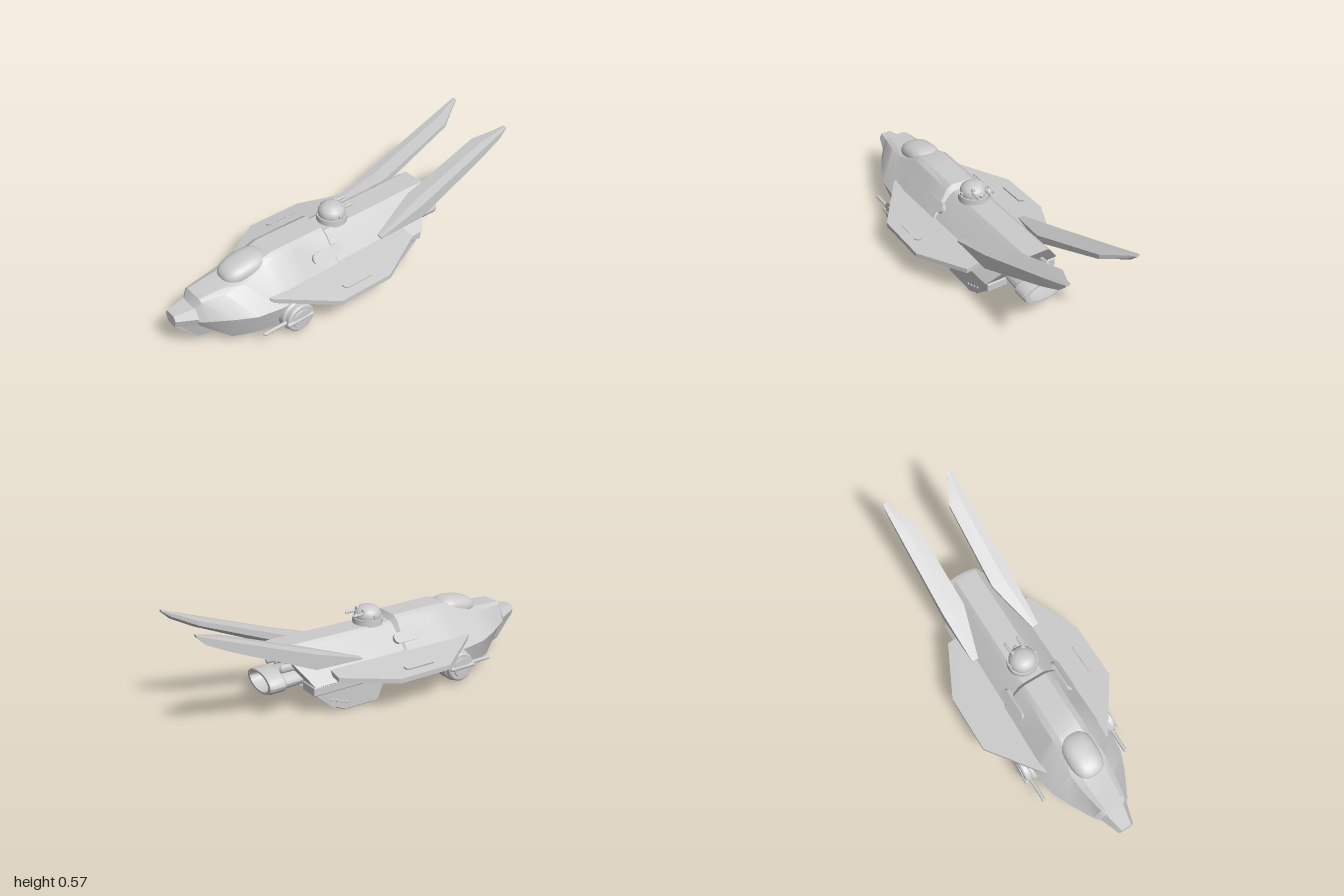
import * as THREE from 'three';
import { toCreasedNormals } from 'three/addons/utils/BufferGeometryUtils.js';
import { RoundedBoxGeometry } from 'three/addons/geometries/RoundedBoxGeometry.js';

const grey = new THREE.MeshStandardMaterial({ color: 0xcccccc });
const doubleGrey = new THREE.MeshStandardMaterial({ color: 0xcccccc, side: THREE.DoubleSide });

// Joins closed loops of [x, y, z] points (ordered by x) into a capped solid
function loft(loops, crease = 0.45) {
  const out = [], n = loops[0].length;
  const tri = (a, b, c) => out.push(...a, ...b, ...c);
  for (let s = 0; s < loops.length - 1; s++) {
    for (let i = 0; i < n; i++) {
      const j = (i + 1) % n, p = loops[s], q = loops[s + 1];
      tri(p[i], p[j], q[j]);
      tri(p[i], q[j], q[i]);
    }
  }
  const first = loops[0], last = loops[loops.length - 1];
  for (let i = 1; i < n - 1; i++) {
    tri(first[0], first[i + 1], first[i]);
    tri(last[0], last[i], last[i + 1]);
  }
  const geo = new THREE.BufferGeometry();
  geo.setAttribute('position', new THREE.Float32BufferAttribute(out, 3));
  return toCreasedNormals(geo, crease);
}

// Symmetric loop from a half section of [halfWidth, y, xOffset], top to bottom
function section(x, half) {
  const side = half.map(([w, y, dx = 0]) => [x + dx, y, w]);
  return [...side, ...side.map(([a, b, c]) => [a, b, -c]).reverse()];
}

// Mirrors a geometry across z = 0, keeping faces outward
function mirrored(geo) {
  const m = geo.index ? geo.toNonIndexed() : geo.clone();
  m.scale(1, 1, -1);
  for (const attr of Object.values(m.attributes)) {
    const k = attr.itemSize, a = attr.array;
    for (let i = 0; i < attr.count; i += 3) {
      for (let c = 0; c < k; c++) {
        const p = (i + 1) * k + c, q = (i + 2) * k + c;
        [a[p], a[q]] = [a[q], a[p]];
      }
    }
  }
  return m;
}

function polygon(points) {
  return new THREE.Shape(points.map(([x, y]) => new THREE.Vector2(x, y)));
}

// Rounded bar: long in x, depth up the y axis
function pill(length, width, height) {
  const r = width / 2, l = length / 2 - r, s = new THREE.Shape();
  s.absarc(l, 0, r, -Math.PI / 2, Math.PI / 2);
  s.absarc(-l, 0, r, Math.PI / 2, Math.PI * 1.5);
  return new THREE.ExtrudeGeometry(s, {
    depth: height, curveSegments: 8, bevelEnabled: true, bevelSize: -0.003, bevelThickness: 0.003, bevelSegments: 1,
  }).rotateX(-Math.PI / 2);
}

export function createModel() {
  const model = new THREE.Group();
  model.name = 'spacecraft';
  const add = (name, geo, mat = grey) => {
    const mesh = new THREE.Mesh(geo, mat);
    mesh.name = name;
    model.add(mesh);
    return mesh;
  };
  const pair = (name, geo, mat) => {
    add(name + 'Left', geo, mat);
    add(name + 'Right', mirrored(geo), mat);
  };
  const rod = (r, length, x, y, z) =>
    new THREE.CapsuleGeometry(r, length - 2 * r, 4, 10).rotateZ(Math.PI / 2).translate(x, y, z);

  // Hull: roof edge, shoulder, widest line and floor edge at each station
  const rearSlant = (y) => (y - 0.165) * 0.67;
  add('hull', loft([
    section(-0.9, [[0.035, 0.265], [0.05, 0.255], [0.075, 0.2], [0.05, 0.165]]),
    section(-0.87, [[0.05, 0.31], [0.068, 0.3], [0.1, 0.2], [0.065, 0.145]]),
    section(-0.75, [[0.06, 0.315], [0.09, 0.3], [0.165, 0.19], [0.12, 0.05]]),
    section(-0.65, [[0.06, 0.328], [0.1, 0.31], [0.208, 0.18], [0.165, 0.05]]),
    section(-0.52, [[0.06, 0.372], [0.09, 0.35], [0.222, 0.17], [0.195, 0.05]]),
    section(-0.46, [[0.06, 0.387], [0.09, 0.37], [0.224, 0.17], [0.2, 0.07]]),
    section(-0.35, [[0.06, 0.387], [0.09, 0.37], [0.222, 0.17], [0.2, 0.105]]),
    section(-0.19, [[0.06, 0.385], [0.09, 0.367], [0.22, 0.17], [0.2, 0.16]]),
    section(-0.155, [[0.06, 0.385], [0.09, 0.367], [0.22, 0.17], [0.2, 0.16]]),
    section(-0.135, [[0.06, 0.357], [0.085, 0.34], [0.22, 0.172], [0.2, 0.162]]),
    section(0.2, [[0.06, 0.357], [0.085, 0.335], [0.215, 0.175], [0.2, 0.163]]),
    section(0.4, [[0.06, 0.357], [0.085, 0.335], [0.21, 0.175], [0.19, 0.165]]
      .map(([w, y]) => [w, y, rearSlant(y)])),
  ]));
  add('bellyDuct', loft([
    section(-0.42, [[0.1, 0.17], [0.1, 0.095]]),
    section(-0.1, [[0.1, 0.17], [0.1, 0.105]]),
    section(-0.06, [[0.1, 0.17], [0.1, 0.12]]),
    section(-0.04, [[0.09, 0.17], [0.09, 0.155]]),
  ]));

  // Nose cap and chin
  add('noseCap', loft([
    section(-1, [[0.028, 0.26], [0.042, 0.235], [0.03, 0.195]]),
    section(-0.895, [[0.05, 0.266], [0.078, 0.215], [0.06, 0.16]]),
  ], 0.1));
  add('chin', loft([
    section(-0.995, [[0.03, 0.21], [0.028, 0.19]]),
    section(-0.89, [[0.065, 0.18], [0.04, 0.08]]),
    section(-0.74, [[0.12, 0.18], [0.08, 0.08]]),
  ], 0.1));

  // Canopy: ball squared off in plan
  const canopy = new THREE.SphereGeometry(1, 32, 20);
  const cp = canopy.attributes.position;
  const square = (v) => Math.sign(v) * Math.abs(v) ** 0.75;
  for (let i = 0; i < cp.count; i++) cp.setXYZ(i, square(cp.getX(i)), cp.getY(i), square(cp.getZ(i)));
  canopy.scale(0.125, 0.055, 0.085).rotateZ(0.14).translate(-0.59, 0.336, 0);
  canopy.computeVertexNormals();
  add('canopy', canopy);

  // Drooping side wings
  const wing = new THREE.ExtrudeGeometry(
    polygon([[-0.56, 0.15], [-0.56, 0.185], [-0.28, 0.382], [0.03, 0.382], [0.3, 0.25], [0.3, 0.15]]),
    { depth: 0.025, bevelEnabled: false }).rotateX(Math.PI / 2);
  const wp = wing.attributes.position;
  for (let i = 0; i < wp.count; i++) wp.setY(i, wp.getY(i) + 0.228 - 0.18 * (wp.getZ(i) - 0.18));
  wing.computeVertexNormals();
  pair('wing', wing);
  pair('wingPanel', pill(0.185, 0.048, 0.012).rotateX(0.18).translate(-0.13, 0.2, 0.314));
  pair('hullPanel', pill(0.185, 0.056, 0.016).rotateX(0.95).translate(-0.185, 0.288, 0.143));

  // Swept tail fins: x, inner z, outer z, top y, bottom y
  pair('tailFin', loft([
    [0.13, 0.165, 0.2, 0.262, 0.255],
    [0.4, 0.088, 0.21, 0.357, 0.268],
    [0.85, 0.1, 0.205, 0.522, 0.468],
    [0.96, 0.16, 0.203, 0.563, 0.525],
    [1, 0.175, 0.2, 0.577, 0.565],
  ].map(([x, zi, zo, t, b]) => {
    const m = zi + (zo - zi) * 0.6;
    return [[x, t, m], [x, t - (t - b) * 0.1, zo], [x, b, zo], [x, b, m], [x, b + (t - b) * 0.45, zi], [x, t - (t - b) * 0.1, zi]];
  }), 0.15));

  // Lower rear pods, their mounts, exhaust frames and side studs
  const pod = new THREE.ExtrudeGeometry(polygon([
    [0.035, 0.008], [0.23, 0.008], [0.275, 0.03], [0.385, 0.13], [0.39, 0.165], [0.125, 0.165], [-0.01, 0.145], [-0.01, 0.11]]),
  { depth: 0.084, bevelSize: 0.004, bevelThickness: 0.004, bevelSegments: 1 }).translate(0, 0, 0.104);
  pair('pod', pod);
  pair('podMount', new RoundedBoxGeometry(0.29, 0.05, 0.115, 2, 0.008).translate(0.265, 0.146, 0.143));
  const frame = polygon([[-0.046, -0.06], [0.046, -0.06], [0.046, 0.07], [-0.046, 0.07]]);
  frame.holes.push(polygon([[-0.031, -0.04], [-0.031, 0.055], [0.031, 0.055], [0.031, -0.04]]));
  const frameBasis = new THREE.Matrix4().makeBasis(
    new THREE.Vector3(0, 0, -1), new THREE.Vector3(0.74, 0.673, 0), new THREE.Vector3(0.673, -0.74, 0));
  frameBasis.setPosition(0.328, 0.078, 0.146);
  pair('podExhaustFrame', new THREE.ExtrudeGeometry(frame, { depth: 0.012, bevelEnabled: false }).applyMatrix4(frameBasis));
  for (let i = 0; i < 4; i++) {
    pair('podStud' + i, new THREE.SphereGeometry(0.007, 10, 6).translate(0.22 + i * 0.028, 0.045 + i * 0.011, 0.191));
  }

  // Oval main engine, hollow at the back
  const engine = new THREE.LatheGeometry([
    [0.001, 0.36], [0.095, 0.36], [0.105, 0.51], [0.119, 0.52], [0.12, 0.59], [0.114, 0.602],
    [0.092, 0.602], [0.086, 0.53], [0.06, 0.49], [0.001, 0.48],
  ].map(([r, h]) => new THREE.Vector2(r, h)), 24);
  engine.rotateZ(-Math.PI / 2).scale(1, 0.49, 1).translate(0, 0.179, 0);
  add('engine', toCreasedNormals(engine, 0.5), doubleGrey);
  pair('exhaustPipe', rod(0.012, 0.14, 0.455, 0.25, 0.071).translate(0, -0.25, 0).scale(1, 1.8, 1).translate(0, 0.248, 0));

  // Front disc turrets with forward barrels
  const disc = new THREE.LatheGeometry([
    [0.001, 0.17], [0.086, 0.17], [0.086, 0.234], [0.082, 0.24], [0.078, 0.243],
    [0.078, 0.266], [0.07, 0.273], [0.052, 0.274], [0.05, 0.279], [0.001, 0.279],
  ].reverse().map(([r, h]) => new THREE.Vector2(r, -h)), 32).rotateX(-Math.PI / 2);
  pair('discTurret', toCreasedNormals(disc.translate(-0.445, 0.097, 0), 0.5), doubleGrey);
  pair('discBarrel', rod(0.01, 0.2, -0.555, 0.097, 0.248));
  pair('discBarrelCover', rod(0.012, 0.16, -0.452, 0.097, 0.272));

  // Roof turret: plinth, dome, eye, side knobs, slots and twin barrels
  const tx = -0.036;
  add('turretPlinth', new THREE.CylinderGeometry(0.078, 0.08, 0.035, 32).translate(tx, 0.368, 0));
  const dome = new THREE.LatheGeometry([
    [0.068, 0.38], [0.071, 0.39], [0.07, 0.407], [0.062, 0.424], [0.045, 0.438], [0.024, 0.445], [0.001, 0.446],
  ].map(([r, h]) => new THREE.Vector2(r, h)), 32);
  add('turretDome', dome.translate(tx, 0, 0));
  add('turretEye', new THREE.SphereGeometry(0.011, 14, 10).translate(tx + 0.07, 0.402, 0));
  pair('turretKnob', new RoundedBoxGeometry(0.02, 0.018, 0.012, 2, 0.003).translate(tx, 0.4, 0.072));
  pair('turretSlot', new RoundedBoxGeometry(0.02, 0.036, 0.02, 2, 0.004)
    .rotateX(-0.25).translate(tx + 0.043, 0.42, 0.032));
  pair('turretBarrel', rod(0.007, 0.1, tx + 0.064, 0.415, 0.035));

  return model;
}
